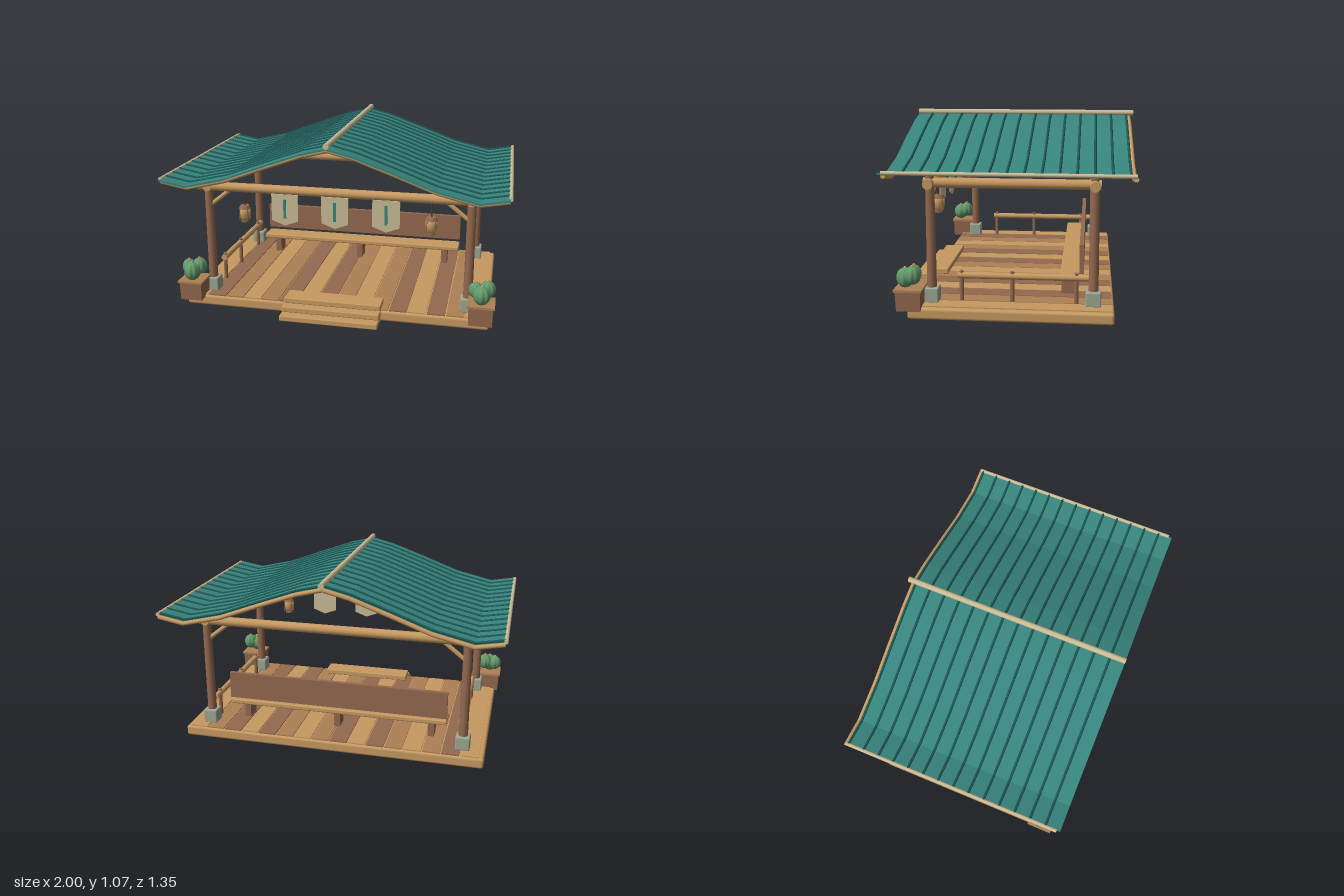
import * as THREE from 'three';
import { RoundedBoxGeometry } from 'three/addons/geometries/RoundedBoxGeometry.js';

const mat = (name, color) => Object.assign(new THREE.MeshStandardMaterial({ color }), { name });

export function createModel() {
  const tan = mat('light wood', 0xc79a62), brown = mat('brown wood', 0x94694f);
  const midWood = mat('mid wood', 0xad8055), teal = mat('teal roofing', 0x37857e);
  const darkTeal = mat('dark teal', 0x1c5553), beige = mat('pale cloth', 0xcabd96);
  const stone = mat('grey stone', 0x9ca692), green = mat('cactus green', 0x639a6b);
  const dark = mat('dark wood', 0x523a2c);

  const model = new THREE.Group();
  model.name = 'pavilion';
  const group = (name) => {
    const g = new THREE.Group();
    g.name = name;
    model.add(g);
    return g;
  };
  const add = (parent, name, geo, material, x = 0, y = 0, z = 0) => {
    const m = new THREE.Mesh(geo, material);
    m.name = name;
    m.position.set(x, y, z);
    parent.add(m);
    return m;
  };
  const box = (p, name, m, w, h, d, x, y, z) => add(p, name, new THREE.BoxGeometry(w, h, d), m, x, y, z);
  const soft = (p, name, m, w, h, d, x, y, z, r = 0.008) =>
    add(p, name, new RoundedBoxGeometry(w, h, d, 2, r), m, x, y, z);
  // Round pole between two points
  const pole = (p, name, m, a, b, r, r2 = r) => {
    const from = new THREE.Vector3(...a), to = new THREE.Vector3(...b);
    const dir = to.clone().sub(from);
    const mid = from.clone().add(to).multiplyScalar(0.5);
    const mesh = add(p, name, new THREE.CylinderGeometry(r2, r, dir.length(), 12), m, mid.x, mid.y, mid.z);
    mesh.quaternion.setFromUnitVectors(new THREE.Vector3(0, 1, 0), dir.normalize());
    return mesh;
  };

  // Platform, deck boards and front steps
  const deck = group('deck');
  soft(deck, 'platform', tan, 1.82, 0.064, 1.112, 0, 0.032, 0, 0.015);
  const boardColors = [tan, brown, midWood, tan, midWood, brown];
  const boards = 16, pitch = 1.77 / boards;
  for (let i = 0; i < boards; i++) {
    box(deck, 'deckBoard', boardColors[i % 6], pitch - 0.008, 0.012, 1.09,
      -0.885 + pitch * (i + 0.5), 0.064, 0);
  }
  for (let i = 0; i < 3; i++) {
    soft(deck, 'step', tan, 0.58, 0.034, 0.123, 0, 0.018 + i * 0.034, 0.618 - i * 0.053, 0.006);
  }

  // Posts on stone footings, with beams and corner braces
  const frame = group('frame');
  for (const z of [-0.443, 0.443]) {
    for (const s of [-1, 1]) {
      soft(frame, 'footing', stone, 0.084, 0.084, 0.084, s * 0.78, 0.108, z);
      pole(frame, 'post', brown, [s * 0.78, 0.14, z], [s * 0.78, 0.77, z], 0.027, 0.025);
      pole(frame, 'brace', tan, [s * 0.77, 0.612, z], [s * 0.645, 0.71, z], 0.013);
    }
    pole(frame, 'crossBeam', tan, [-0.845, 0.728, z], [0.845, 0.728, z], 0.028);
  }
  for (const s of [-1, 1]) {
    pole(frame, 'sideBeam', tan, [s * 0.78, 0.73, -0.476], [s * 0.78, 0.73, 0.476], 0.028);
  }

  // Roof: curved sheet, battens, edge logs, ridge and eave poles
  const roof = group('roof');
  const half = [[0, 1.04], [0.15, 1.003], [0.37, 0.924], [0.6, 0.838], [0.83, 0.784], [0.985, 0.812]];
  const profile = [...half.slice(1).reverse().map(([x, y]) => [-x, y]), ...half];
  const outline = [...profile, ...profile.slice().reverse().map(([x, y]) => [x, y - 0.011])];
  const sheet = new THREE.ExtrudeGeometry(new THREE.Shape(outline.map((p) => new THREE.Vector2(...p))),
    { depth: 1.305, bevelEnabled: false });
  add(roof, 'roofSheet', sheet, teal, 0, 0, -0.634);
  const run = (name, m, z, dy, r) => {
    for (let i = 1; i < profile.length; i++) {
      const [x0, y0] = profile[i - 1], [x1, y1] = profile[i];
      pole(roof, name, m, [x0, y0 + dy, z], [x1, y1 + dy, z], r);
    }
  };
  for (let i = 0; i < 14; i++) run('batten', darkTeal, 0.583 - i * 0.0932, 0.001, 0.0075);
  for (const z of [-0.645, 0.64]) run('edgeLog', tan, z, -0.018, 0.013);
  pole(roof, 'ridgePole', beige, [0, 1.05, -0.673], [0, 1.05, 0.673], 0.017);
  for (const s of [-1, 1]) {
    pole(roof, 'eavePole', beige, [s * 0.988, 0.81, -0.65], [s * 0.988, 0.81, 0.65], 0.011);
  }

  // Bench with a broad back panel
  const bench = group('bench');
  soft(bench, 'benchSeat', tan, 1.35, 0.03, 0.125, 0, 0.178, -0.317);
  box(bench, 'benchBack', brown, 1.35, 0.165, 0.025, 0, 0.293, -0.376);
  for (const x of [-0.58, 0, 0.58]) box(bench, 'benchLeg', brown, 0.038, 0.1, 0.09, x, 0.115, -0.307);

  // Side railings
  const rails = group('railings');
  for (const s of [-1, 1]) {
    const x = s * 0.765;
    pole(rails, 'rail', tan, [x, 0.214, -0.42], [x, 0.214, 0.3], 0.019);
    for (const z of [0.28, 0, -0.35]) pole(rails, 'railPost', brown, [x, 0.065, z], [x, 0.24, z], 0.012);
  }

  // Hanging banners with a teal stripe
  const banners = group('banners');
  const cloth = new THREE.Shape([[-0.08, 0.71], [-0.08, 0.55], [0, 0.52], [0.08, 0.55], [0.08, 0.71]]
    .map((p) => new THREE.Vector2(...p)));
  const clothGeo = new THREE.ExtrudeGeometry(cloth, { depth: 0.006, bevelEnabled: false });
  for (const x of [-0.3, 0, 0.3]) {
    add(banners, 'banner', clothGeo, beige, x, 0, 0.468);
    box(banners, 'bannerStripe', teal, 0.016, 0.115, 0.004, x, 0.622, 0.476);
  }

  // Lanterns on cords
  const bodyGeo = new THREE.LatheGeometry(
    [[0, 0.53], [0.022, 0.53], [0.033, 0.55], [0.036, 0.575], [0.032, 0.605], [0, 0.605]]
      .map((p) => new THREE.Vector2(...p)), 8);
  for (const s of [-1, 1]) {
    const lantern = group('lantern');
    lantern.position.set(s * 0.557, 0, 0.443);
    pole(lantern, 'cord', dark, [0, 0.61, 0], [0, 0.71, 0], 0.004);
    add(lantern, 'lanternBody', bodyGeo, tan);
    pole(lantern, 'lanternCap', brown, [0, 0.602, 0], [0, 0.622, 0], 0.037, 0.026);
    pole(lantern, 'lanternFoot', brown, [0, 0.52, 0], [0, 0.532, 0], 0.025);
    for (let i = 0; i < 4; i++) {
      const a = Math.PI / 4 + i * Math.PI / 2, c = Math.cos(a) * 0.034, d = Math.sin(a) * 0.034;
      pole(lantern, 'lanternRib', brown, [c, 0.53, d], [c, 0.605, d], 0.003);
    }
  }

  // Ribbed ball cactus: radius pulled in between ribs
  const ball = new THREE.SphereGeometry(1, 48, 14);
  const pos = ball.attributes.position;
  for (let i = 0; i < pos.count; i++) {
    const k = 0.86 + 0.14 * Math.abs(Math.cos(4 * Math.atan2(pos.getZ(i), pos.getX(i))));
    pos.setX(i, pos.getX(i) * k);
    pos.setZ(i, pos.getZ(i) * k);
  }
  ball.computeVertexNormals();

  // Square planters, slightly tapered
  const potGeo = new THREE.BoxGeometry(0.138, 0.115, 0.138);
  const pp = potGeo.attributes.position;
  for (let i = 0; i < pp.count; i++) {
    if (pp.getY(i) < 0) pp.setXYZ(i, pp.getX(i) * 0.95, pp.getY(i), pp.getZ(i) * 0.95);
  }
  potGeo.computeVertexNormals();
  const lobes = [[0, 0.222, 0.025, 0.05], [-0.035, 0.237, -0.015, 0.042], [0.03, 0.243, -0.022, 0.046]];
  for (const s of [-1, 1]) {
    const planter = group('planter');
    planter.position.set(s * 0.862, 0, 0.545);
    add(planter, 'pot', potGeo, brown, 0, 0.108, 0);
    box(planter, 'potRim', midWood, 0.154, 0.013, 0.154, 0, 0.165, 0);
    for (const [x, y, z, r] of lobes) {
      add(planter, 'cactus', ball, green, x, y, z).scale.set(r, r * 1.1, r);
      add(planter, 'cactusTip', new THREE.SphereGeometry(0.009, 8, 6), tan, x, y + r * 1.08, z);
    }
  }
  return model;
}
